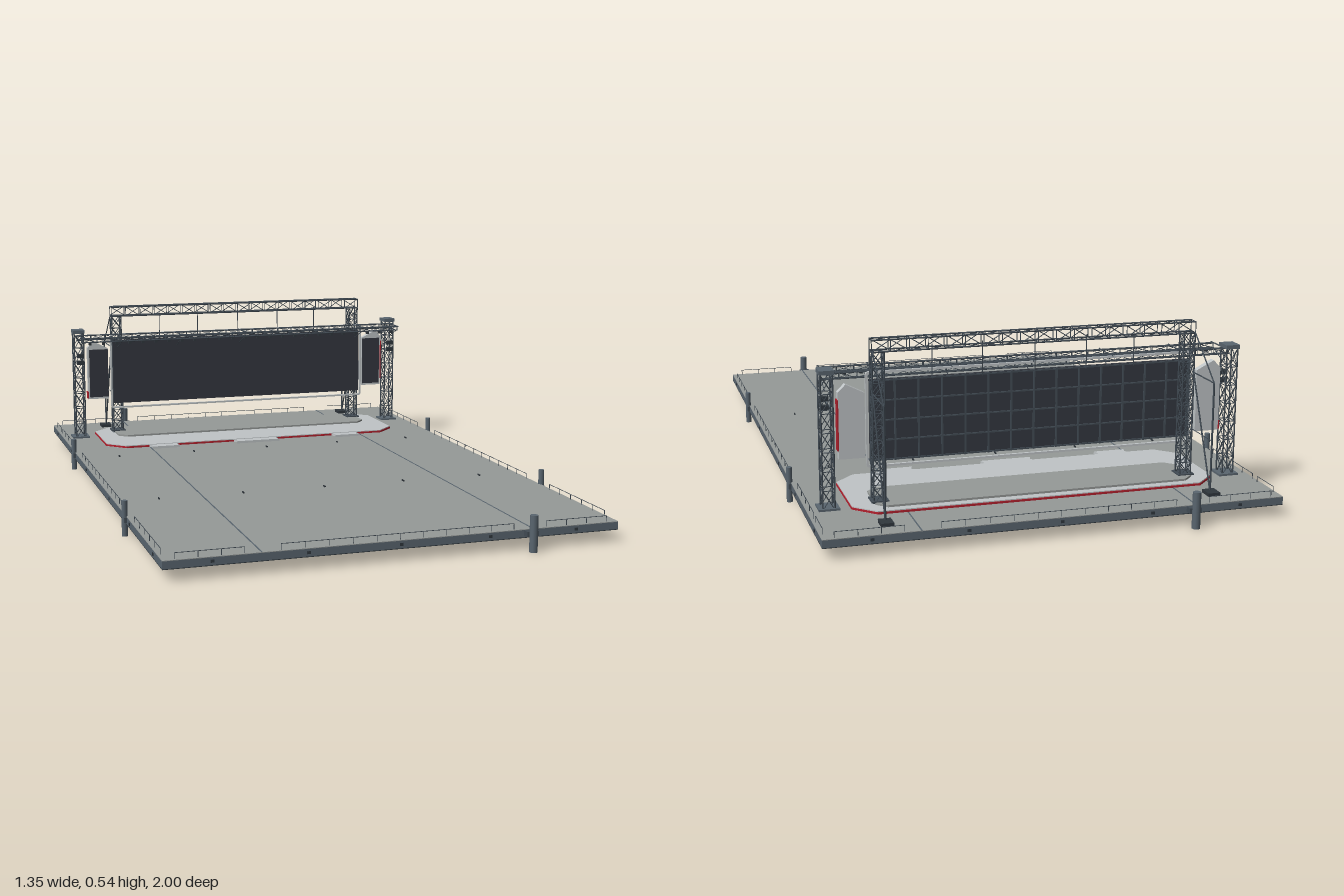
import * as THREE from 'three';
import { mergeGeometries } from 'three/addons/utils/BufferGeometryUtils.js';

const mat = (name, color) => {
  const m = new THREE.MeshStandardMaterial({ color });
  m.name = name;
  return m;
};

export function createModel() {
  const M = {
    deck: mat('deck grey', 0x969a98),
    light: mat('light grey', 0xc0c5c7),
    hull: mat('hull slate', 0x5a6670),
    under: mat('underside dark', 0x30373d),
    steel: mat('truss steel', 0x434d56),
    screen: mat('screen black', 0x343840),
    red: mat('red trim', 0xb3212e),
  };
  const root = new THREE.Group();
  const add = (name, geo, material) => {
    const mesh = new THREE.Mesh(geo, material);
    mesh.name = name;
    root.add(mesh);
    return mesh;
  };
  const merged = (name, list, material) => add(name, mergeGeometries(list), material);
  const box = (x, y, z, w, h, d) => new THREE.BoxGeometry(w, h, d).translate(x, y, z);
  // round bar between two points
  const bar = (a, b, r = 0.0013) => {
    const p = new THREE.Vector3(...a), q = new THREE.Vector3(...b);
    const d = q.clone().sub(p);
    const g = new THREE.CylinderGeometry(r, r, d.length(), 5);
    g.applyQuaternion(new THREE.Quaternion().setFromUnitVectors(new THREE.Vector3(0, 1, 0), d.normalize()));
    return g.translate(...p.add(q).multiplyScalar(0.5).toArray());
  };
  // square lattice truss along 'x' or 'y'; u and v are its two cross sizes
  const truss = (axis, c, from, to, u, v, bays, cross, r = 0.0024) => {
    const at = (t, i) => {
      const s = [[-1, -1], [1, -1], [1, 1], [-1, 1]][i % 4];
      return axis === 'y'
        ? [c[0] + s[0] * u / 2, t, c[2] + s[1] * v / 2]
        : [t, c[1] + s[0] * u / 2, c[2] + s[1] * v / 2];
    };
    const out = [], step = (to - from) / bays;
    for (let i = 0; i < 4; i++) {
      out.push(bar(at(from, i), at(to, i), r));
      for (let k = 0; k <= bays; k++) {
        const t = from + k * step;
        out.push(bar(at(t, i), at(t, i + 1), r * 0.6));
        if (k === bays) continue;
        if (cross || k % 2 === 0) out.push(bar(at(t, i), at(t + step, i + 1), r * 0.55));
        if (cross || k % 2 === 1) out.push(bar(at(t, i + 1), at(t + step, i), r * 0.55));
      }
    }
    return out;
  };
  // flat slab from an outline in x and z, with its top at the given height
  const slab = (pts, top, depth) => new THREE.ExtrudeGeometry(
    new THREE.Shape(pts.map(p => new THREE.Vector2(...p))), { depth, bevelEnabled: false })
    .rotateX(Math.PI / 2).translate(0, top, 0);
  const octagon = (x, z0, z1, c, e = 0) => [
    [-x - e, z0 + c], [-x + c, z0 - e], [x - c, z0 - e], [x + e, z0 + c],
    [x + e, z1 - c], [x - c, z1 + e], [-x + c, z1 + e], [-x - e, z1 - c]];

  // floating deck
  const L = 0.963, W = 0.664, TOP = 0.06;
  add('deckHull', box(0, 0.0475, 0, W * 2, 0.021, L * 2), M.hull);
  add('deckTop', box(0, 0.059, 0, W * 2, 0.002, L * 2), M.deck);
  add('deckUnderside', box(0, 0.036, 0, W * 2, 0.002, L * 2), M.under);
  merged('deckSeams', [-1, 1].map(s => box(s * 0.395, 0.0603, 0, 0.004, 0.001, L * 2)), M.hull);

  // cleats and hull bolts
  const cleats = [];
  for (const x of [-0.53, -0.265, 0, 0.265, 0.53]) {
    for (const z of [-0.33, 0.31]) cleats.push(box(x, 0.062, z, 0.004, 0.004, 0.014));
    for (const s of [-1, 1]) cleats.push(box(x, 0.048, s * L, 0.01, 0.008, 0.004));
  }
  for (const z of [-0.85, -0.53, -0.21, 0.21, 0.53, 0.85]) {
    for (const s of [-1, 1]) cleats.push(box(s * W, 0.048, z, 0.004, 0.008, 0.01));
  }
  merged('cleats', cleats, M.under);

  // low guard rails along the deck edges
  const rails = [];
  const rail = (a, b) => {
    const n = Math.max(1, Math.round(Math.hypot(b[0] - a[0], b[1] - a[1]) / 0.07));
    rails.push(bar([a[0], 0.077, a[1]], [b[0], 0.077, b[1]], 0.001));
    for (let i = 0; i <= n; i++) {
      const x = a[0] + (b[0] - a[0]) * i / n, z = a[1] + (b[1] - a[1]) * i / n;
      rails.push(bar([x, TOP, z], [x, 0.077, z], 0.001));
    }
  };
  for (const s of [-1, 1]) {
    for (const [a, b] of [[-0.92, -0.82], [-0.79, -0.52], [-0.35, 0.4], [0.56, 0.9]]) rail([s * 0.655, a], [s * 0.655, b]);
    for (const [a, b] of [[-0.63, -0.44], [-0.34, 0.34], [0.44, 0.63]]) rail([a, s * 0.955], [b, s * 0.955]);
  }
  merged('guardRails', rails, M.steel);

  // mooring piles with brackets
  const piles = [], brackets = [];
  const pile = (x, z, r, bx, bz) => {
    piles.push(new THREE.CylinderGeometry(r, r, 0.106, 10).translate(x, 0.053, z));
    brackets.push(box(x + bx, 0.05, z + bz, bx ? 0.016 : 0.036, 0.016, bz ? 0.022 : 0.03));
  };
  for (const s of [-1, 1]) {
    for (const z of [-0.447, 0.478]) pile(s * 0.668, z, 0.009, -s * 0.004, 0);
    pile(s * 0.385, s * 0.988, 0.012, 0, -s * 0.014);
  }
  merged('mooringPiles', piles, M.hull);
  merged('pileBrackets', brackets, M.steel);

  // stage with red edge, front steps and raised inner platform
  add('stageTrim', slab(octagon(0.54, -0.805, -0.455, 0.06, 0.002), 0.067, 0.006), M.red);
  add('stage', slab(octagon(0.54, -0.805, -0.455, 0.06), 0.07, 0.01), M.light);
  merged('stageSteps', [[-0.4, -0.29], [-0.09, 0.08], [0.285, 0.39]].map(([a, b]) => slab(
    [[a, -0.456], [b, -0.456], [b - 0.012, -0.44], [b - 0.005, -0.42], [a + 0.005, -0.42], [a + 0.012, -0.44]],
    0.068, 0.008)), M.light);
  add('innerPlatform', slab(octagon(0.475, -0.78, -0.61, 0.03), 0.076, 0.008), M.deck);

  // goal-shaped truss holding the main screen
  const BZ = -0.725;
  const frame = truss('x', [0, 0.518, BZ], -0.478, 0.478, 0.033, 0.032, 18, false);
  for (const s of [-1, 1]) {
    frame.push(...truss('y', [s * 0.46, 0, BZ], 0.07, 0.5, 0.034, 0.032, 10, true));
    frame.push(box(s * 0.46, 0.077, BZ, 0.05, 0.005, 0.05));
  }
  for (const x of [-0.3, -0.155, 0, 0.155, 0.3]) frame.push(bar([x, 0.41, -0.71], [x, 0.51, -0.71], 0.0015));
  merged('screenTruss', frame, M.steel);

  // side towers with caps, feet and flood lights
  const towers = [], caps = [], floods = [];
  for (const s of [-1, 1]) {
    towers.push(...truss('y', [s * 0.602, 0, -0.711], 0.06, 0.445, 0.034, 0.04, 7, true));
    caps.push(box(s * 0.602, 0.451, -0.711, 0.042, 0.012, 0.052));
    caps.push(box(s * 0.602, 0.063, -0.711, 0.06, 0.006, 0.06));
    for (const y of [0.34, 0.365]) floods.push(box(s * 0.6, y, -0.678, 0.024, 0.014, 0.014));
  }
  merged('sideTowers', towers, M.steel);
  merged('towerCaps', caps, M.hull);
  merged('floodLights', floods, M.under);

  // lighting gantry in front of the screen
  const gantry = [
    ...truss('x', [0, 0.43, -0.686], -0.61, 0.61, 0.016, 0.012, 24, false, 0.0018),
    ...truss('x', [0, 0.43, -0.605], -0.6, 0.6, 0.014, 0.01, 24, false, 0.0018)];
  for (const x of [-0.6, -0.46, -0.24, 0, 0.24, 0.46, 0.6]) {
    gantry.push(bar([x, 0.438, -0.59], [x, 0.438, -0.7], 0.002), bar([x, 0.423, -0.605], [x, 0.39, -0.69], 0.0013));
  }
  merged('lightingGantry', gantry, M.steel);
  const lamps = [];
  for (let i = 0; i < 25; i++) lamps.push(box(-0.576 + i * 0.048, 0.418, -0.605, 0.009, 0.01, 0.012));
  merged('stageLamps', lamps, M.under);

  // main screen with panel ribs on the back
  add('mainScreen', box(0, 0.299, -0.698, 0.956, 0.234, 0.01), M.screen);
  const ribs = [];
  for (let i = 0; i <= 14; i++) ribs.push(box(-0.474 + i * 0.0677, 0.299, -0.705, 0.005, 0.234, 0.004));
  for (let i = 0; i <= 4; i++) ribs.push(box(0, 0.185 + i * 0.057, -0.705, 0.956, 0.004, 0.004));
  merged('screenBackRibs', ribs, M.steel);

  // pale border round the screen
  const roundRect = (C, w, y0, y1, r) => {
    const p = new C();
    p.moveTo(-w + r, y0);
    p.lineTo(w - r, y0).quadraticCurveTo(w, y0, w, y0 + r);
    p.lineTo(w, y1 - r).quadraticCurveTo(w, y1, w - r, y1);
    p.lineTo(-w + r, y1).quadraticCurveTo(-w, y1, -w, y1 - r);
    p.lineTo(-w, y0 + r).quadraticCurveTo(-w, y0, -w + r, y0);
    return p;
  };
  const border = roundRect(THREE.Shape, 0.488, 0.163, 0.439, 0.012);
  border.holes.push(roundRect(THREE.Path, 0.482, 0.169, 0.433, 0.008));
  add('screenBorder', new THREE.ExtrudeGeometry(border, { depth: 0.008, bevelEnabled: false, curveSegments: 4 })
    .translate(0, 0, -0.7), M.light);

  // side screens: pale peaked housing, dark face, red outer edge
  for (const s of [-1, 1]) {
    const pts = [[0.495, 0.2], [0.57, 0.2], [0.57, 0.39], [0.548, 0.412], [0.495, 0.385]];
    const shape = new THREE.Shape(pts.map(([x, y]) => new THREE.Vector2(s * x, y)));
    add('sideScreenHousing', new THREE.ExtrudeGeometry(shape, { depth: 0.02, bevelEnabled: false })
      .translate(0, 0, -0.722), M.light);
    add('sideScreen', box(s * 0.53, 0.295, -0.7, 0.068, 0.175, 0.006), M.screen);
    add('sideScreenTrim', s > 0 ? box(0.571, 0.297, -0.712, 0.004, 0.145, 0.022)
      : box(-0.571, 0.215, -0.712, 0.004, 0.025, 0.022), M.red);
  }

  // rear bracing masts with ballast feet
  const braces = [], ballast = [];
  for (const s of [-1, 1]) {
    const x = s * 0.476, Z = -0.88, F = -0.742;
    braces.push(
      bar([x, TOP, Z], [x, 0.385, Z], 0.003), bar([x, 0.385, Z], [x, 0.385, F], 0.002),
      bar([x, 0.385, Z], [x, 0.505, F], 0.002), bar([x, 0.065, Z], [x, 0.385, F], 0.0025),
      bar([x, 0.215, Z], [x, 0.215, F], 0.0013));
    ballast.push(box(x, 0.065, -0.888, 0.036, 0.01, 0.044));
  }
  merged('rearBraces', braces, M.steel);
  merged('ballastFeet', ballast, M.under);

  return root;
}
